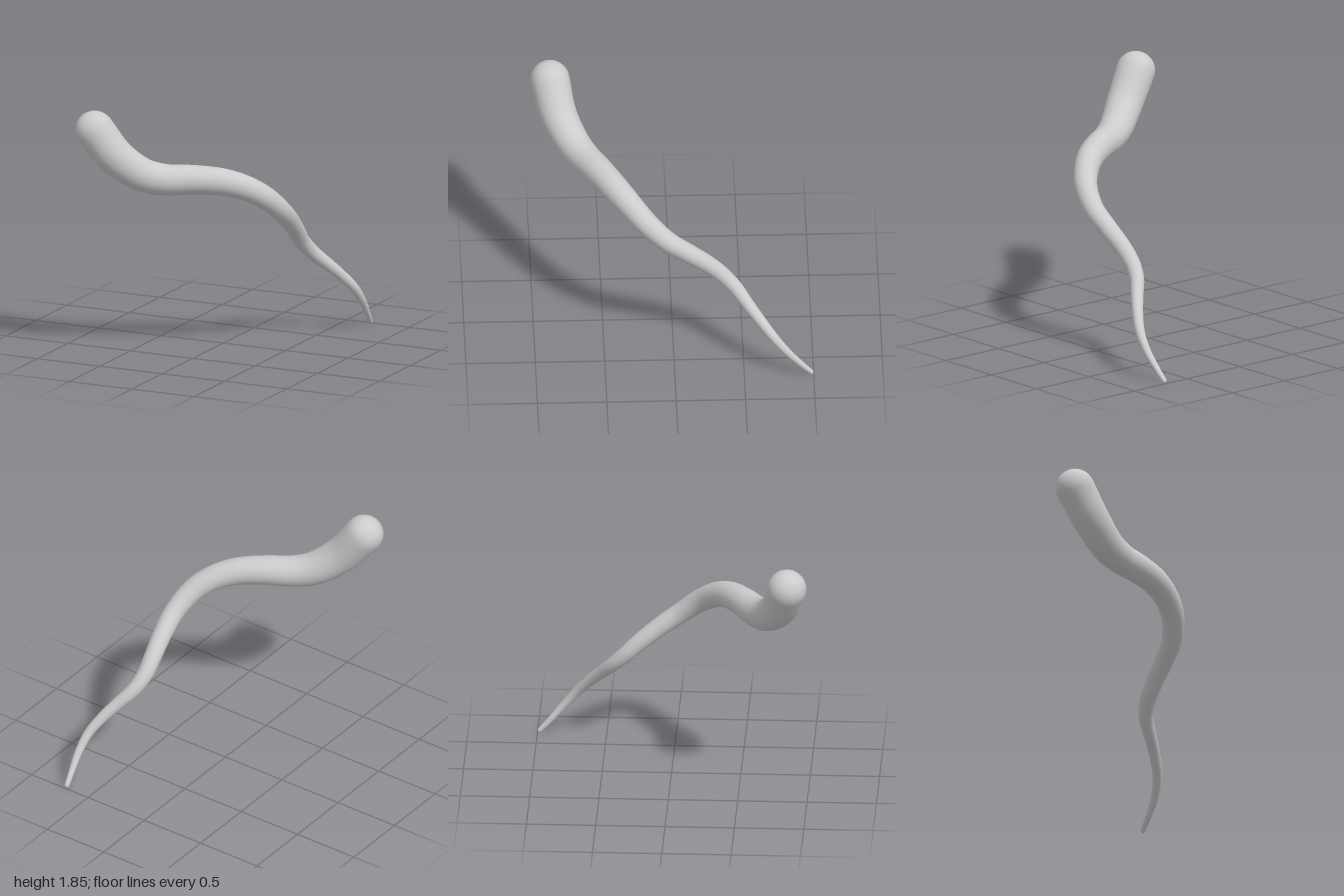
import * as THREE from 'three';

// Centre line from the thick end to the tip: x, y, z, radius
const PATH = [
  [-0.61, 1.71, 0.86, 0.142],
  [-0.46, 1.51, 0.805, 0.134],
  [-0.29, 1.375, 0.705, 0.122],
  [-0.15, 1.338, 0.62, 0.113],
  [0.02, 1.335, 0.52, 0.106],
  [0.2, 1.312, 0.41, 0.099],
  [0.33, 1.26, 0.31, 0.091],
  [0.43, 1.175, 0.2, 0.084],
  [0.487, 1.05, 0.05, 0.075],
  [0.485, 0.94, -0.1, 0.07],
  [0.468, 0.82, -0.25, 0.064],
  [0.465, 0.725, -0.35, 0.059],
  [0.495, 0.635, -0.44, 0.053],
  [0.57, 0.535, -0.53, 0.046],
  [0.645, 0.43, -0.625, 0.04],
  [0.7, 0.325, -0.715, 0.035],
  [0.718, 0.21, -0.81, 0.029],
  [0.71, 0.1, -0.905, 0.023],
  [0.7, 0.018, -0.982, 0.018],
];
const SIDES = 28, STEPS = 90, CAP = 8;

// Tapered sweep with a domed cap at both ends
function taperedTube(path) {
  const curve = new THREE.CatmullRomCurve3(path.map(p => new THREE.Vector3(p[0], p[1], p[2])));
  const frames = curve.computeFrenetFrames(STEPS, false);
  const last = path.length - 1;
  const radiusAt = u => {
    const t = curve.getUtoTmapping(u) * last;
    const i = Math.min(Math.floor(t), last - 1);
    return THREE.MathUtils.lerp(path[i][3], path[i + 1][3], t - i);
  };

  // Rings: frame index, shift along the tangent, radius
  const rings = [];
  const r0 = path[0][3], r1 = path[last][3];
  for (let k = 0; k < CAP; k++) {
    const a = (k / CAP) * Math.PI / 2;
    rings.push([0, -r0 * Math.cos(a), r0 * Math.sin(a)]);
  }
  for (let i = 0; i <= STEPS; i++) rings.push([i, 0, radiusAt(i / STEPS)]);
  for (let k = 1; k <= CAP; k++) {
    const a = (k / CAP) * Math.PI / 2;
    rings.push([STEPS, r1 * Math.sin(a), k === CAP ? 0 : r1 * Math.cos(a)]);
  }

  const pos = [], index = [];
  rings.forEach(([f, shift, r], row) => {
    const c = curve.getPointAt(f / STEPS).addScaledVector(frames.tangents[f], shift);
    // End poles keep a minute radius so their normals stay defined
    const rr = Math.max(r, 1e-4);
    for (let j = 0; j < SIDES; j++) {
      const a = (j / SIDES) * Math.PI * 2;
      const v = c.clone()
        .addScaledVector(frames.normals[f], rr * Math.cos(a))
        .addScaledVector(frames.binormals[f], rr * Math.sin(a));
      pos.push(v.x, v.y, v.z);
      if (row < rings.length - 1) {
        const p = row * SIDES + j, q = row * SIDES + (j + 1) % SIDES;
        index.push(p, q, p + SIDES, q, q + SIDES, p + SIDES);
      }
    }
  });
  const geo = new THREE.BufferGeometry();
  geo.setAttribute('position', new THREE.Float32BufferAttribute(pos, 3));
  geo.setIndex(index);
  geo.computeVertexNormals();
  return geo;
}

export function createModel() {
  const group = new THREE.Group();
  group.name = 'windingTendril';
  const tendril = new THREE.Mesh(
    taperedTube(PATH),
    new THREE.MeshStandardMaterial({ color: 0xcccccc })
  );
  tendril.name = 'tendril';
  group.add(tendril);
  return group;
}
